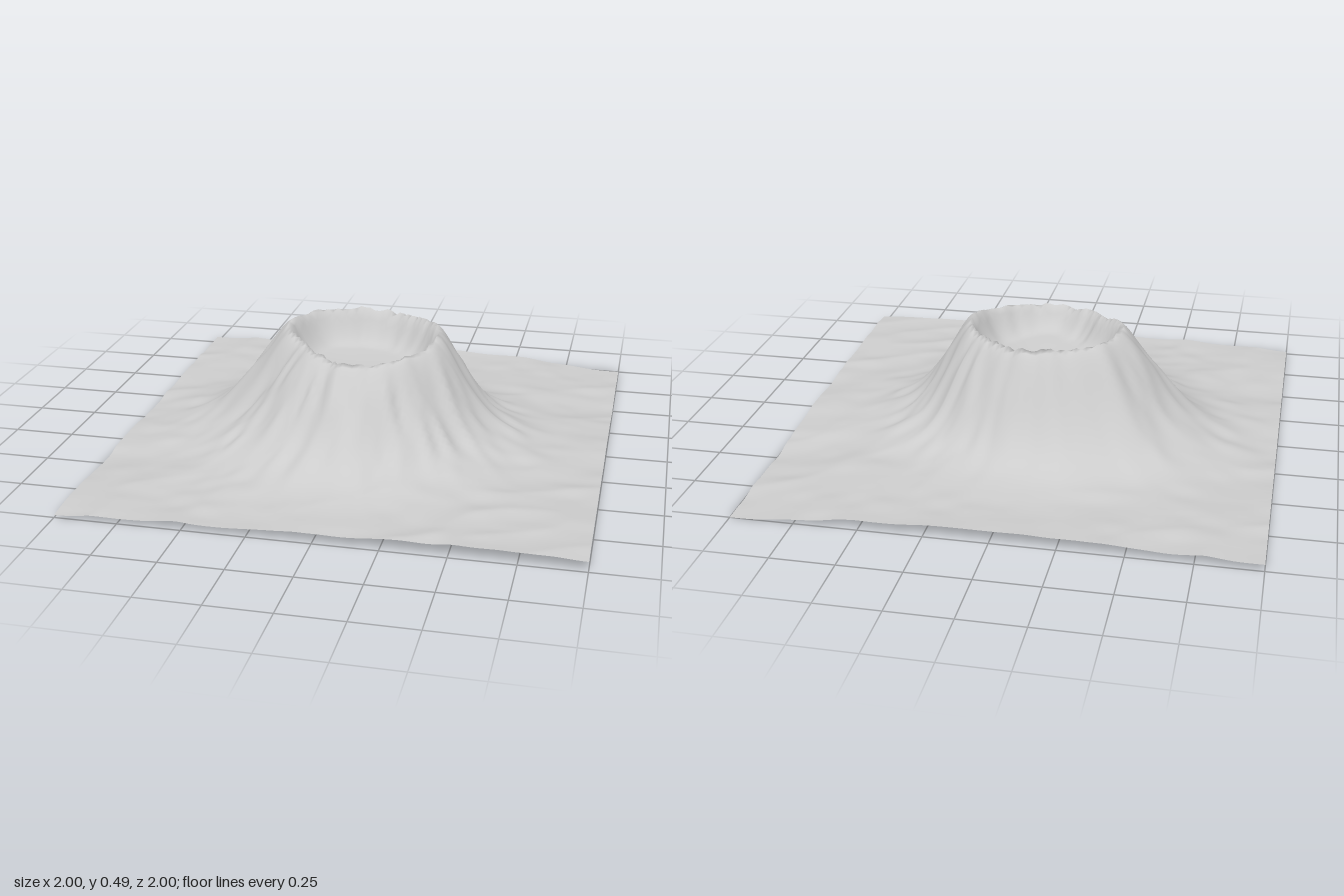
import * as THREE from 'three';

const N = 104; // grid cells per side

// Values every 30 degrees, starting at +x and turning towards +z
const RIM_RADIUS = [0.287, 0.285, 0.293, 0.312, 0.288, 0.28, 0.335, 0.335, 0.305, 0.288, 0.27, 0.28];
const RIM_HEIGHT = [0.495, 0.475, 0.46, 0.448, 0.46, 0.475, 0.5, 0.497, 0.488, 0.487, 0.485, 0.492];
const FLANK_WIDTH = [0.97, 0.97, 0.98, 1.06, 1.1, 1.17, 1.22, 1.13, 1, 0.88, 0.88, 0.94];
const ROUGHNESS = [1, 1, 1, 0.7, 0.8, 0.9, 0.9, 0.5, 0.1, 0.4, 0.9, 1];

// Plain heights: rows from back (z = -1) to front, columns from x = -1 to 1
const PLAIN = [
  [0.045, 0.05, 0.06, 0.045, 0.01],
  [0.032, 0.045, 0.06, 0.055, 0.02],
  [0.025, 0.045, 0.06, 0.065, 0.045],
  [0.025, 0.045, 0.06, 0.065, 0.052],
  [0.03, 0.038, 0.048, 0.06, 0.055],
];

const { lerp } = THREE.MathUtils;
const smooth = (t) => t * t * (3 - 2 * t);

function around(list, angle) {
  const n = list.length;
  const p = ((angle / (2 * Math.PI)) * n + n) % n;
  const i = Math.floor(p) % n;
  return lerp(list[i], list[(i + 1) % n], smooth(p - Math.floor(p)));
}

// Repeatable value noise in the range -1 to 1
function hash(i, j) {
  const s = Math.sin(i * 127.1 + j * 311.7) * 43758.5453;
  return (s - Math.floor(s)) * 2 - 1;
}
function noise(x, y, period = 1e6) {
  const i = Math.floor(x), j = Math.floor(y);
  const u = smooth(x - i), v = smooth(y - j);
  const w = (k) => ((k % period) + period) % period;
  return lerp(
    lerp(hash(w(i), j), hash(w(i + 1), j), u),
    lerp(hash(w(i), j + 1), hash(w(i + 1), j + 1), u), v);
}

function plainAt(x, z) {
  const px = (x + 1) * 2, pz = (z + 1) * 2;
  const i = Math.min(3, Math.floor(px)), j = Math.min(3, Math.floor(pz));
  const u = smooth(px - i), v = smooth(pz - j);
  const h = lerp(lerp(PLAIN[j][i], PLAIN[j][i + 1], u), lerp(PLAIN[j + 1][i], PLAIN[j + 1][i + 1], u), v);
  // shallow creases, fading out towards the mountain
  const fade = THREE.MathUtils.smoothstep(Math.hypot(x, z), 0.45, 1);
  const crease = Math.abs(noise(x * 3 + 9, z * 6 + x * 2));
  return h + fade * (0.012 * (0.4 - crease) + 0.004 * noise(x * 9, z * 14 + 5));
}

function heightAt(x, z) {
  const r = Math.hypot(x, z), a = Math.atan2(z, x);
  const turn = a / (2 * Math.PI) + 0.5;
  const base = plainAt(x, z);
  const rim = around(RIM_HEIGHT, a) + 0.008 * noise(turn * 60, 3, 60);
  const d = r - around(RIM_RADIUS, a) - 0.005 * noise(turn * 40, 7, 40);

  if (d < 0) {
    // crater: wall steepest at the rim, easing into a dished floor
    const wall = 1 - Math.max(0, 1 + d / 0.11) ** 2.2;
    const floor = 0.335 + 0.25 * r * r + 0.005 * noise(x * 6, z * 6);
    const rib = 0.03 * noise(turn * 50, 2, 50) * wall * (1 - wall);
    return lerp(rim, floor, wall) + rib;
  }
  // outer flank, concave towards the foot
  const share = Math.exp(-((d / around(FLANK_WIDTH, a) / 0.195) ** 1.5));
  // gullies that run downhill, with sharp crests and slight bends
  const bend = turn + 0.006 * noise(x * 7, z * 7);
  const gully = 0.6 - 1.6 * Math.abs(noise(bend * 30, d * 4, 30)) + 0.9 * noise(bend * 76, d * 9 + 20, 76);
  const depth = 0.026 * around(ROUGHNESS, a) * Math.min(1, d / 0.1) * Math.sqrt(share);
  return base + (rim - base) * share + gully * depth;
}

export function createModel() {
  const group = new THREE.Group();
  group.name = 'craterLandscape';

  // One continuous ground sheet with the mountain raised from it
  const geometry = new THREE.PlaneGeometry(2, 2, N, N);
  geometry.rotateX(-Math.PI / 2);
  const p = geometry.attributes.position;
  for (let i = 0; i < p.count; i++) p.setY(i, heightAt(p.getX(i), p.getZ(i)));
  geometry.computeBoundingBox();
  geometry.translate(0, -geometry.boundingBox.min.y, 0);
  geometry.computeVertexNormals();

  const material = new THREE.MeshStandardMaterial({ color: 0xcccccc, side: THREE.DoubleSide });
  const terrain = new THREE.Mesh(geometry, material);
  terrain.name = 'volcanoTerrain';
  group.add(terrain);
  return group;
}
